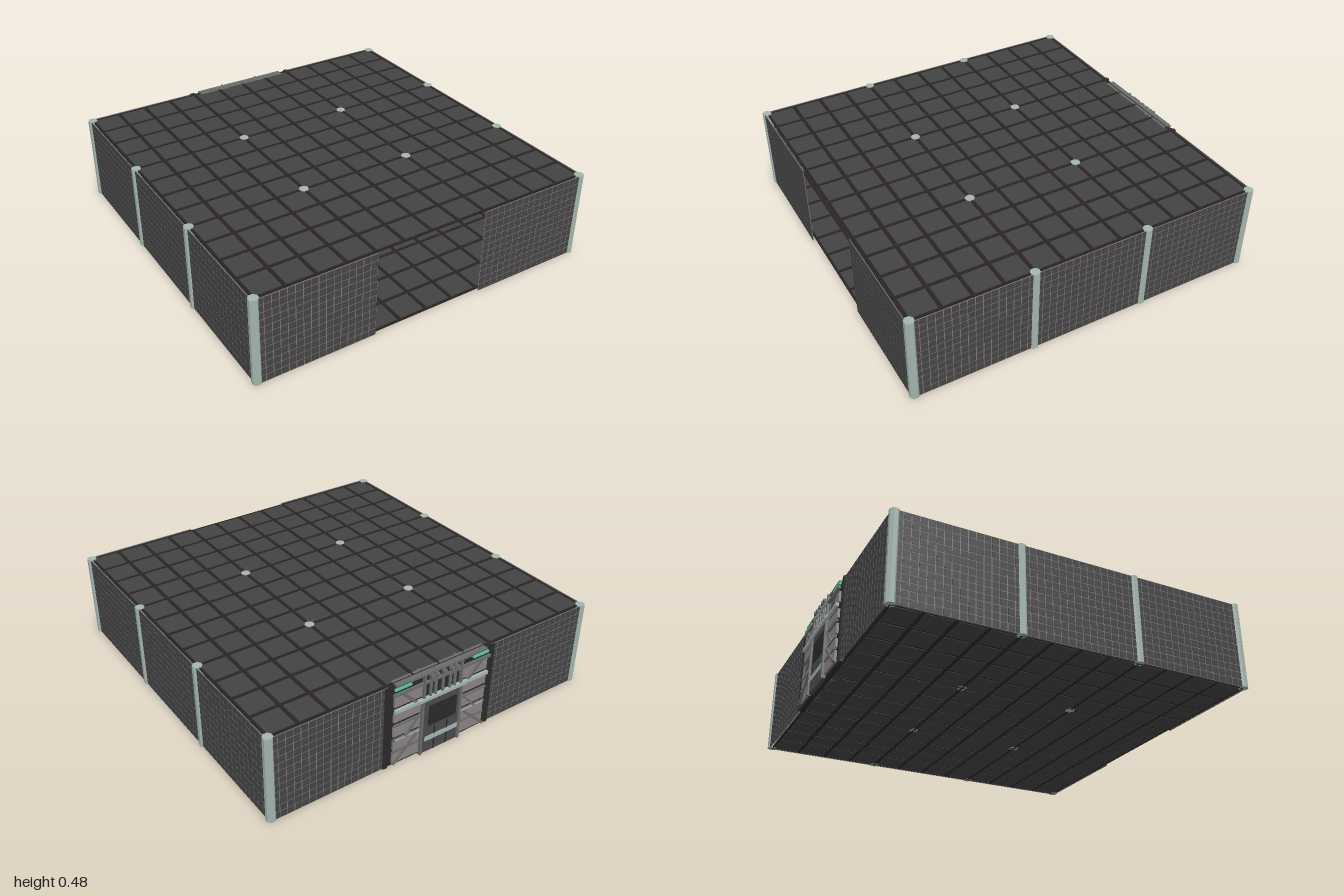
import * as THREE from 'three';
import { mergeGeometries } from 'three/addons/utils/BufferGeometryUtils.js';

const H = 0.48, CELL = 0.64, ZC = 0.01; // storey height, bay size, z of the plan centre
const mat = (color) => new THREE.MeshStandardMaterial({ color, flatShading: true });
const M = {
  frame: mat(0x2a2523), tile: mat(0x434343), joint: mat(0x7a7878), brick: mat(0x464444),
  pale: mat(0xa3b5ad), dark: mat(0x2b2a2b), panel: mat(0x8c8383), steel: mat(0x6a6c6c),
  door: mat(0x4a4a4b), light: mat(0x4fcf9f),
};
const box = (w, h, d, x, y, z) => new THREE.BoxGeometry(w, h, d).translate(x, y, z);

function add(parent, name, geos, material) {
  const mesh = new THREE.Mesh(Array.isArray(geos) ? mergeGeometries(geos) : geos, material);
  mesh.name = name;
  parent.add(mesh);
  return mesh;
}

// Slab of 12 x 12 square tiles standing slightly proud of a dark grid
function slab(name, y) {
  const g = new THREE.Group();
  g.name = name;
  const tiles = [], ribs = [], p = CELL / 4;
  for (let i = 0; i < 12; i++)
    for (let j = 0; j < 12; j++)
      tiles.push(box(0.138, 0.008, 0.138, (i - 5.5) * p, 0, (j - 5.5) * p));
  for (let i = 0; i <= 12; i++) {
    const w = i % 12 ? 0.011 : 0.006;
    const s = (i - 6) * p * (i % 12 ? 1 : 0.998);
    ribs.push(box(w, 0.009, 1.92, s, 0, 0), box(1.92, 0.009, w, 0, 0, s));
  }
  add(g, 'slabGrid', box(1.92, 0.004, 1.92, 0, 0, 0), M.frame);
  add(g, 'slabRibs', ribs, M.frame);
  add(g, 'slabTiles', tiles, M.tile);
  g.position.set(0, y, ZC);
  return g;
}

// One bay of thin wall: small dark bricks on a pale jointing sheet
function wall(name, x, z, turn) {
  const g = new THREE.Group();
  g.name = name;
  const bricks = [], p = 0.04;
  for (let i = 0; i < 16; i++)
    for (let j = 0; j < 12; j++)
      bricks.push(box(0.0355, 0.0355, 0.006, (i - 7.5) * p, (j + 0.5) * p, 0));
  add(g, 'wallJoints', box(CELL, H, 0.003, 0, H / 2, 0), M.joint);
  add(g, 'wallBricks', bricks, M.brick);
  g.position.set(x, 0, z);
  g.rotation.y = turn;
  return g;
}

// Flat bar between two points of the gate face
function bar(x1, y1, x2, y2, w, d, z) {
  const len = Math.hypot(x2 - x1, y2 - y1);
  return new THREE.BoxGeometry(len, w, d).rotateZ(Math.atan2(y2 - y1, x2 - x1))
    .translate((x1 + x2) / 2, (y1 + y2) / 2, z);
}
const both = (fn) => [fn(-1), fn(1)].flat();

// Relief of the gate, built facing +z; z = 0 is the middle of the gate
function gateFace(name) {
  const g = new THREE.Group();
  g.name = name;
  // stacked infill panels on each side
  add(g, 'infillPanels', both((s) => [
    [0.05, 0.065], [0.125, 0.05], [0.205, 0.055], [0.29, 0.05], [0.385, 0.06],
  ].map(([y, h]) => box(0.165, h, 0.012, s * 0.205, y, 0.017))), M.panel);
  add(g, 'rails', [
    box(0.6, 0.014, 0.012, 0, 0.43, 0.026),
    ...both((s) => [0.09, 0.16, 0.245].map((y) => box(0.17, 0.01, 0.01, s * 0.205, y, 0.023))),
  ], M.steel);
  // diagonal braces
  add(g, 'braces', both((s) => [
    bar(s * 0.29, 0.015, s * 0.15, 0.15, 0.014, 0.012, 0.026),
    bar(s * 0.25, 0.43, s * 0.16, 0.34, 0.016, 0.012, 0.026),
    bar(s * 0.14, 0.25, s * 0.22, 0.16, 0.011, 0.012, 0.026),
  ]), M.steel);
  add(g, 'shelves', both((s) => [
    box(0.15, 0.018, 0.016, s * 0.215, 0.335, 0.028),
    box(0.15, 0.008, 0.012, s * 0.205, 0.16, 0.024),
  ]), M.pale);
  add(g, 'lamps', both((s) => box(0.1, 0.012, 0.01, s * 0.24, 0.458, 0.022)), M.light);
  // central door with dark window and sill stripe
  add(g, 'door', box(0.22, 0.33, 0.02, 0.005, 0.165, 0.018), M.door);
  add(g, 'doorWindow', box(0.175, 0.12, 0.006, 0.01, 0.22, 0.028), M.dark);
  add(g, 'doorSeams', both((s) => box(0.006, 0.15, 0.004, 0.005 + s * 0.04, 0.075, 0.029)), M.dark);
  add(g, 'doorStripe', box(0.21, 0.026, 0.006, 0.01, 0.083, 0.029), M.pale);
  add(g, 'doorPosts', both((s) => [
    box(0.014, 0.33, 0.022, s * 0.12, 0.165, 0.025),
    box(0.012, 0.15, 0.016, s * 0.115, 0.405, 0.026),
  ]), M.steel);
  add(g, 'lintel', box(0.3, 0.018, 0.02, 0, 0.335, 0.03), M.pale);
  // pipes above the door, with clamps
  const pipes = [], clamps = [];
  for (const x of [-0.075, -0.045, 0, 0.045, 0.075]) {
    pipes.push(new THREE.CylinderGeometry(0.008, 0.008, 0.14, 8).translate(x, 0.405, 0.028));
    clamps.push(box(0.022, 0.016, 0.02, x, 0.46, 0.034));
  }
  add(g, 'pipes', pipes, M.steel);
  add(g, 'pipeClamps', clamps, M.steel);
  return g;
}

function gate() {
  const g = new THREE.Group();
  g.name = 'gate';
  // core, slightly bowed on both faces in plan
  const s = new THREE.Shape([[-0.31, -0.01], [-0.2, -0.013], [0.2, -0.013], [0.31, -0.01],
    [0.31, 0.01], [0.2, 0.013], [-0.2, 0.013], [-0.31, 0.01]].map((p) => new THREE.Vector2(...p)));
  const core = new THREE.ExtrudeGeometry(s, { depth: H - 0.004, bevelEnabled: false });
  add(g, 'gateCore', core.rotateX(-Math.PI / 2), M.dark);
  // top rail
  add(g, 'topRail', box(0.56, 0.012, 0.05, 0, H - 0.006, 0), M.steel);
  // dark jambs
  add(g, 'jambs', both((d) => new THREE.CylinderGeometry(0.021, 0.021, H, 8)
    .rotateY(Math.PI / 8).translate(d * 0.325, H / 2, 0)), M.dark);
  const back = gateFace('gateBack');
  back.rotation.y = Math.PI;
  g.add(gateFace('gateInside'), back);
  g.position.z = -0.955;
  return g;
}

export function createModel() {
  const root = new THREE.Group();
  root.name = 'room';
  root.add(slab('floor', 0.0045), slab('roof', H - 0.0045));

  // walls: three bays on each side, two bays front and back beside the openings
  for (const s of [-1, 1]) {
    for (const k of [-1, 0, 1]) root.add(wall('sideWall', s * 0.972, ZC + k * CELL, Math.PI / 2));
    root.add(wall('frontWall', s * CELL, 0.985, 0));
    root.add(wall('backWall', s * CELL, -0.964, 0));
  }

  // eight-sided columns on the bay corners, apart from the front and back openings
  const column = new THREE.CylinderGeometry(0.026, 0.026, H + 0.002, 8).rotateY(Math.PI / 8);
  for (let i = 0; i < 4; i++)
    for (let j = 0; j < 4; j++) {
      if ((i === 1 || i === 2) && j % 3 === 0) continue;
      add(root, 'column', column, M.pale)
        .position.set((i - 1.5) * CELL, H / 2 + 0.001, ZC + (j - 1.5) * CELL);
    }

  root.add(gate());
  return root;
}
